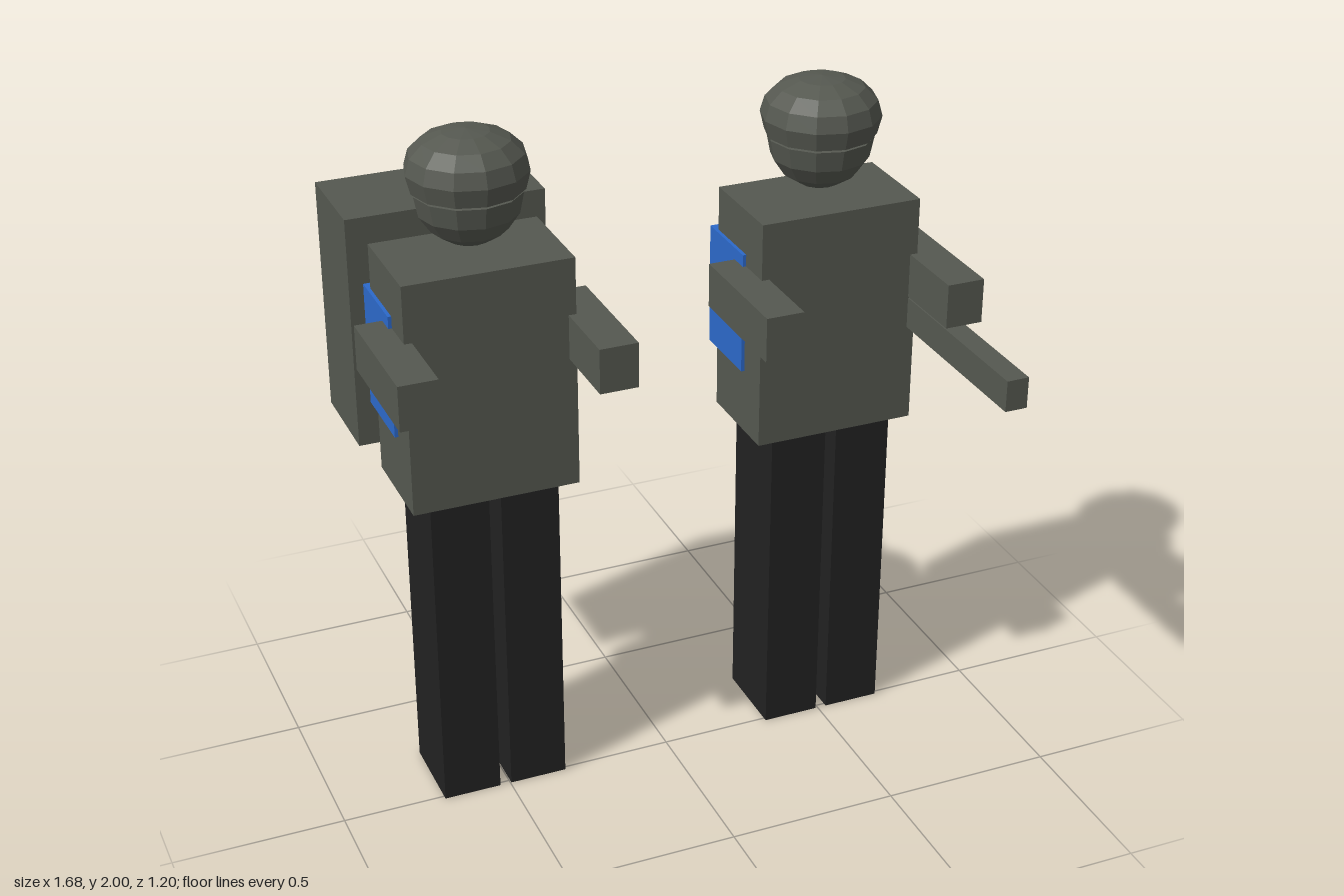
import * as THREE from 'three';

const material = (name, color) => {
  const m = new THREE.MeshStandardMaterial({ color });
  m.name = name;
  return m;
};

export function createModel() {
  const olive = material('olive grey', 0x555850);
  const blue = material('blue', 0x2c69ca);
  const black = material('black', 0x222222);

  // Box given by its extents on each axis
  const box = (parent, name, mat, [x0, x1], [y0, y1], [z0, z1]) => {
    const mesh = new THREE.Mesh(new THREE.BoxGeometry(x1 - x0, y1 - y0, z1 - z0), mat);
    mesh.position.set((x0 + x1) / 2, (y0 + y1) / 2, (z0 + z1) / 2);
    mesh.name = name;
    parent.add(mesh);
  };

  // Faceted twelve-sided solid of revolution, profile listed from bottom to top
  const turned = (parent, name, mat, profile) => {
    const points = profile.map(([r, y]) => new THREE.Vector2(r, y));
    const geometry = new THREE.LatheGeometry(points, 12).toNonIndexed();
    geometry.computeVertexNormals();
    const mesh = new THREE.Mesh(geometry, mat);
    mesh.position.z = -0.117;
    mesh.name = name;
    parent.add(mesh);
  };

  const figure = (name, x) => {
    const g = new THREE.Group();
    g.name = name;
    g.position.x = x;
    box(g, 'torso', olive, [-0.24, 0.24], [0.975, 1.655], [-0.26, 0.035]);
    box(g, 'backPanel', blue, [-0.25, 0.25], [1.165, 1.525], [-0.295, -0.07]);
    for (const [side, s] of [['left', 1], ['right', -1]]) {
      const span = (a, b) => (s > 0 ? [a, b] : [-b, -a]);
      box(g, side + 'Leg', black, span(0.017, 0.186), [0, 0.975], [-0.235, 0.012]);
      box(g, side + 'Arm', olive, span(0.218, 0.328), [1.36, 1.49], [-0.125, 0.26]);
    }
    // Head: lower part of a ball, closed at the top under the helmet
    turned(g, 'head', olive, [
      [0, 1.68], [0.057, 1.691], [0.106, 1.723], [0.138, 1.77], [0.15, 1.83], [0, 1.85],
    ]);
    // Helmet: flattened dome with a narrowed rim
    turned(g, 'helmet', olive, [
      [0, 1.838], [0.156, 1.838], [0.169, 1.89], [0.156, 1.935], [0.12, 1.97], [0.065, 1.992], [0, 2],
    ]);
    return g;
  };

  const model = new THREE.Group();
  model.name = 'twoFigures';

  const packBearer = figure('packBearer', -0.514);
  box(packBearer, 'backpack', olive, [-0.286, 0.284], [1.025, 1.71], [-0.6, -0.313]);

  const rodBearer = figure('rodBearer', 0.51);
  box(rodBearer, 'rod', olive, [0.218, 0.283], [1.265, 1.356], [-0.26, 0.6]);

  model.add(packBearer, rodBearer);
  return model;
}
